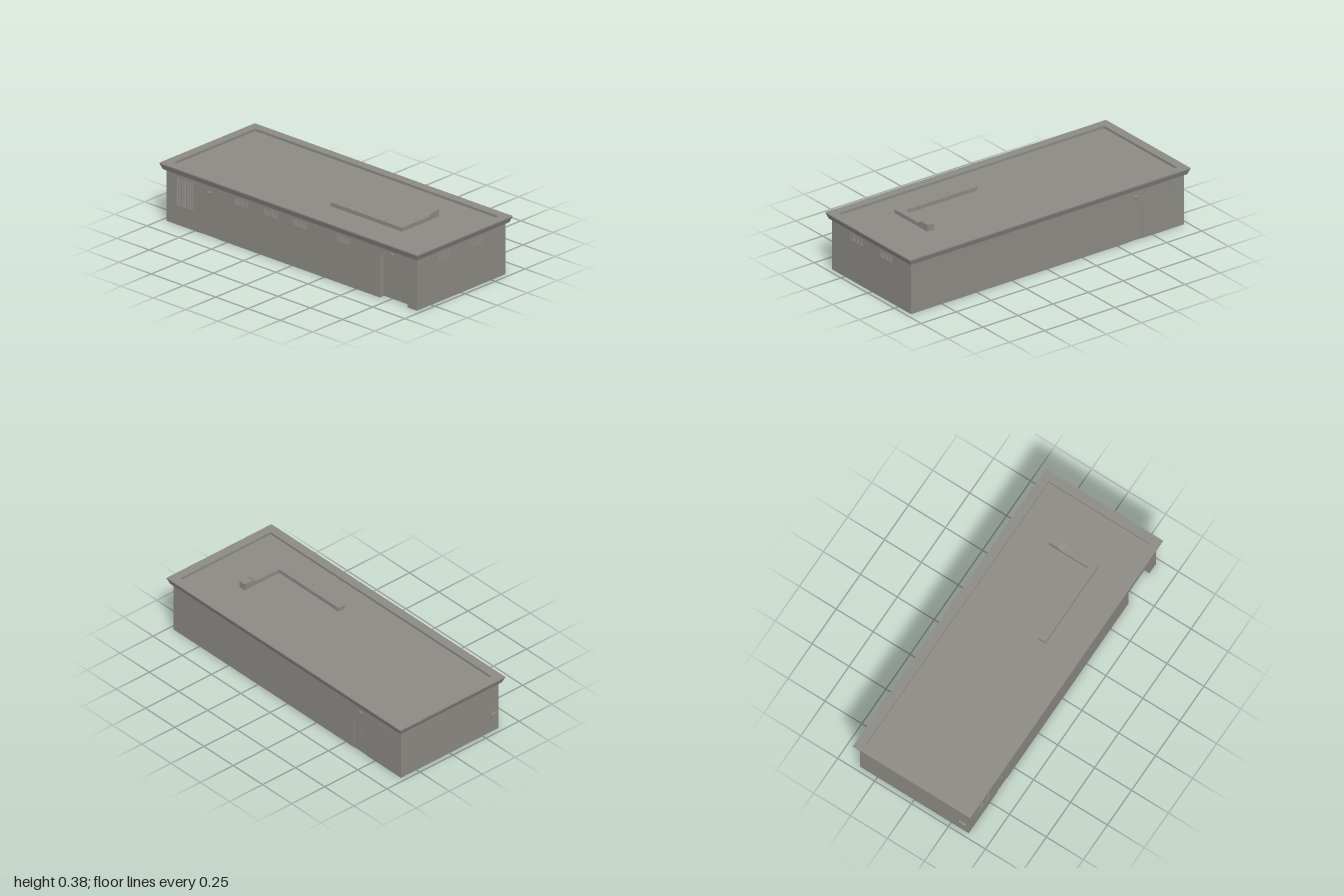
import * as THREE from 'three';

const concrete = new THREE.MeshStandardMaterial({ color: 0x8c8a84, side: THREE.DoubleSide });
concrete.name = 'concrete grey';

const HX = 0.972, HZ = 0.369, WALL = 0.318;

function add(parent, name, geometry, x = 0, y = 0, z = 0) {
  const mesh = new THREE.Mesh(geometry, concrete);
  mesh.name = name;
  mesh.position.set(x, y, z);
  parent.add(mesh);
  return mesh;
}

function box(parent, name, w, h, d, x, y, z) {
  return add(parent, name, new THREE.BoxGeometry(w, h, d), x, y, z);
}

function rectPath(w, h, x = 0, y = 0, Type = THREE.Path) {
  return new Type([[-w, -h], [w, -h], [w, h], [-w, h]]
    .map(([a, b]) => new THREE.Vector2(x + a / 2, y + b / 2)));
}

// Door niche: a box without its floor and outer face
function niche(parent, name, w, h, depth, x, y) {
  const g = new THREE.BoxGeometry(w, h, depth);
  const index = Array.from(g.index.array);
  g.setIndex([...index.slice(0, 18), ...index.slice(30)]);
  g.clearGroups();
  return add(parent, name, g, x, y, -depth / 2);
}

// Wall in local coordinates, facing +z; doors reach the ground, holes do not
function wall(name, width, doors, holes) {
  const group = new THREE.Group();
  group.name = name;
  const pts = [[-width / 2, 0]];
  for (const [x, w, h] of doors) {
    pts.push([x - w / 2, 0], [x - w / 2, h], [x + w / 2, h], [x + w / 2, 0]);
  }
  pts.push([width / 2, 0], [width / 2, WALL], [-width / 2, WALL]);
  const shape = new THREE.Shape(pts.map(p => new THREE.Vector2(...p)));
  for (const [x, y, w, h] of holes) shape.holes.push(rectPath(w, h, x, y));
  add(group, name + 'Panel', new THREE.ShapeGeometry(shape));
  for (const [x, w, h, depth] of doors) niche(group, 'doorRecess', w, h, depth, x, h / 2);
  return group;
}

// Open frame through the wall, filled with slats behind upright bars
function louvre(parent, name, x, y, w, h, border, rows, bars) {
  const g = new THREE.Group();
  g.name = name;
  g.position.set(x, y, 0);
  parent.add(g);
  const iw = w - border * 2, ih = h - border * 2;
  const frame = rectPath(w, h, 0, 0, THREE.Shape);
  frame.holes.push(rectPath(iw, ih));
  add(g, 'louvreFrame', new THREE.ExtrudeGeometry(frame, { depth: 0.012, bevelEnabled: false }), 0, 0, -0.009);
  const pitch = ih / rows;
  for (let i = 0; i < rows; i++) {
    const slat = box(g, 'slat', iw, pitch * 1.02, 0.001, 0, (i - (rows - 1) / 2) * pitch, -0.003);
    slat.rotation.x = -0.35;
  }
  for (let i = 0; i < bars; i++) {
    box(g, 'uprightBar', 0.0015, ih, 0.0015, (i - (bars - 1) / 2) * iw / bars, 0, 0);
  }
}

// Rounded wall lamp on a back plate
function lamp(parent, x, y, w, h) {
  box(parent, 'lampPlate', w, h, 0.003, x, y, 0.0015);
  add(parent, 'lampHead', new THREE.SphereGeometry(1, 10, 6), x, y, 0.003).scale.set(w * 0.45, h * 0.45, 0.007);
}

// Thin cable run with clips
function conduit(parent, x0, y0, x1, y1) {
  const a = new THREE.Vector3(x0, y0, 0.001), b = new THREE.Vector3(x1, y1, 0.001);
  add(parent, 'conduit', new THREE.TubeGeometry(new THREE.LineCurve3(a, b), 1, 0.001, 6));
  for (let t = 0; t <= 1; t += 0.125) {
    const p = a.clone().lerp(b, t);
    box(parent, 'conduitClip', 0.004, 0.004, 0.003, p.x, p.y, 0.0015);
  }
}

function doorHandle(parent, x) {
  box(parent, 'handlePlate', 0.009, 0.026, 0.003, x, 0.145, -0.0015);
  box(parent, 'handleLever', 0.02, 0.005, 0.003, x, 0.149, 0.0015);
}

// Rectangular rings [halfX, halfZ, y] skinned with flat faces, last ring closed
function skinRings(rings) {
  const pos = [];
  const corner = ([x, z, y], k) => [[x, y, z], [x, y, -z], [-x, y, -z], [-x, y, z]][k % 4];
  const quad = (a, b, c, d) => pos.push(...a, ...b, ...c, ...a, ...c, ...d);
  for (let i = 0; i < rings.length - 1; i++) {
    for (let k = 0; k < 4; k++) {
      quad(corner(rings[i], k), corner(rings[i], k + 1), corner(rings[i + 1], k + 1), corner(rings[i + 1], k));
    }
  }
  const last = rings[rings.length - 1];
  quad(corner(last, 0), corner(last, 1), corner(last, 2), corner(last, 3));
  const g = new THREE.BufferGeometry();
  g.setAttribute('position', new THREE.Float32BufferAttribute(pos, 3));
  g.computeVertexNormals();
  return g;
}

function buildDuct(parent) {
  const duct = new THREE.Group();
  duct.name = 'roofDuct';
  parent.add(duct);
  const base = 0.342, low = 0.366, high = 0.384, x0 = 0.12, x1 = 0.675, xi = 0.63, zc = 0.151;
  box(duct, 'longDuct', x1 - x0, low - base, 0.048, (x0 + x1) / 2, (low + base) / 2, zc);
  // Side profile of the short leg with its raised end
  const profile = new THREE.Shape([[0.127, base], [0.127, low], [-0.043, low], [-0.075, high], [-0.133, high], [-0.133, base]]
    .map(([z, y]) => new THREE.Vector2(-z, y)));
  const leg = add(duct, 'shortDuct', new THREE.ExtrudeGeometry(profile, { depth: x1 - xi, bevelEnabled: false }), xi);
  leg.rotation.y = Math.PI / 2;
  // Joint flanges
  const h = low - base + 0.001;
  for (let i = 0; i < 7; i++) box(duct, 'jointFlange', 0.002, h, 0.05, 0.16 + i * 0.075, base + h / 2, zc);
  for (const z of [0.12, 0.04, -0.035]) box(duct, 'jointFlange', 0.047, h, 0.002, 0.6525, base + h / 2, z);
  for (const z of [-0.078, -0.129]) box(duct, 'jointFlange', 0.047, high - base + 0.001, 0.002, 0.6525, (base + high) / 2, z);
}

export function createModel() {
  const model = new THREE.Group();
  model.name = 'flatRoofBuilding';

  // Front wall: two doors, four vents, one large louvred panel
  const vent = { w: 0.117, h: 0.04, y: 0.274 };
  const big = { x: -0.826, y: 0.207, w: 0.15, h: 0.182 };
  const frontX = [-0.386, -0.156, 0.069, 0.404];
  const hole = x => [x, vent.y, vent.w - 0.002, vent.h - 0.002];
  const front = wall('frontWall', HX * 2, [[-0.627, 0.105, 0.2, 0.003], [0.793, 0.215, 0.267, 0.035]],
    [...frontX.map(hole), [big.x, big.y, big.w - 0.002, big.h - 0.002]]);
  front.position.z = HZ;
  frontX.forEach(x => louvre(front, 'frontVent', x, vent.y, vent.w, vent.h, 0.005, 6, 20));
  louvre(front, 'largeLouvre', big.x, big.y, big.w, big.h, 0.008, 22, 24);
  box(front, 'louvreCrossbar', 0.134, 0.006, 0.004, big.x, 0.212, 0);
  doorHandle(front, -0.633);
  lamp(front, -0.632, 0.268, 0.02, 0.026);
  lamp(front, 0.783, 0.291, 0.026, 0.016);
  conduit(front, -0.735, 0.288, -0.642, 0.28);

  // Back wall: one door with lamp and cable
  const back = wall('backWall', HX * 2, [[0.627, 0.105, 0.2, 0.003]], []);
  back.position.z = -HZ;
  back.rotation.y = Math.PI;
  doorHandle(back, 0.64);
  lamp(back, 0.63, 0.273, 0.026, 0.02);
  conduit(back, 0.645, 0.28, 0.94, 0.28);

  // Left end (+x): two vents
  const endX = [-0.14, 0.137];
  const left = wall('leftWall', HZ * 2, [], endX.map(hole));
  left.position.x = HX;
  left.rotation.y = Math.PI / 2;
  endX.forEach(x => louvre(left, 'endVent', x, vent.y, vent.w, vent.h, 0.005, 6, 20));

  // Right end (-x): plain with a small cabinet
  const right = wall('rightWall', HZ * 2, [], []);
  right.position.x = -HX;
  right.rotation.y = -Math.PI / 2;
  box(right, 'meterCabinet', 0.045, 0.05, 0.012, 0.33, 0.1, 0.006);
  model.add(front, back, left, right);

  // Roof: soffit, flared fascia, parapet and sunken deck, with a flat ceiling below
  add(model, 'roof', skinRings([
    [HX, HZ, WALL], [0.985, 0.384, WALL], [0.998, 0.396, 0.35], [1, 0.397, 0.35],
    [1, 0.397, 0.357], [0.944, 0.341, 0.357], [0.944, 0.341, 0.342],
  ]));
  add(model, 'ceiling', new THREE.PlaneGeometry(HX * 2, HZ * 2), 0, WALL, 0).rotation.x = Math.PI / 2;
  buildDuct(model);
  return model;
}
